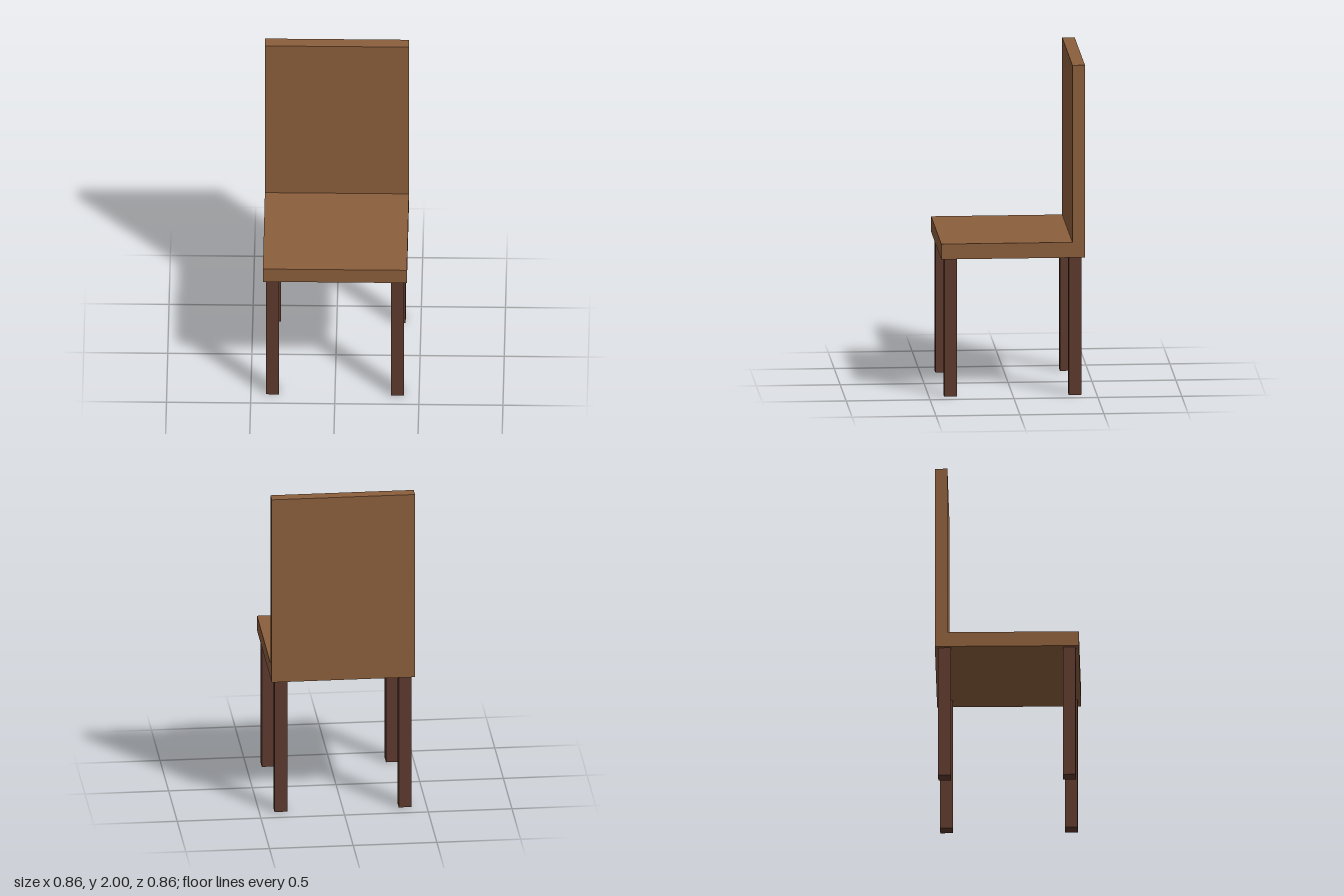
import * as THREE from 'three';

export function createModel() {
  const chair = new THREE.Group();
  chair.name = 'chair';

  const wood = new THREE.MeshStandardMaterial({ color: 0x8b5e3c });
  wood.name = 'warm brown wood';
  const darkWood = new THREE.MeshStandardMaterial({ color: 0x5d3a2e });
  darkWood.name = 'dark brown wood';

  const half = 0.428, seatBottom = 0.835, seatTop = 0.928, backFront = -0.353;

  // Seat and backrest: one L-shaped side profile (z, y) swept across the width
  const profile = new THREE.Shape([
    [-half, seatBottom], [half, seatBottom], [half, seatTop],
    [backFront, seatTop], [backFront, 2], [-half, 2],
  ].map(([z, y]) => new THREE.Vector2(z, y)));
  const bodyGeometry = new THREE.ExtrudeGeometry(profile, { depth: half * 2, bevelEnabled: false });
  bodyGeometry.translate(0, 0, -half).rotateY(-Math.PI / 2);
  const body = new THREE.Mesh(bodyGeometry, wood);
  body.name = 'seatAndBackrest';
  chair.add(body);

  // Four square legs, inset slightly from the seat corners
  const legGeometry = new THREE.BoxGeometry(0.076, seatBottom, 0.076);
  for (const [front, z] of [['front', 0.371], ['back', -0.371]]) {
    for (const [side, x] of [['Left', 0.371], ['Right', -0.371]]) {
      const leg = new THREE.Mesh(legGeometry, darkWood);
      leg.name = `${front}${side}Leg`;
      leg.position.set(x, seatBottom / 2, z);
      chair.add(leg);
    }
  }

  return chair;
}
